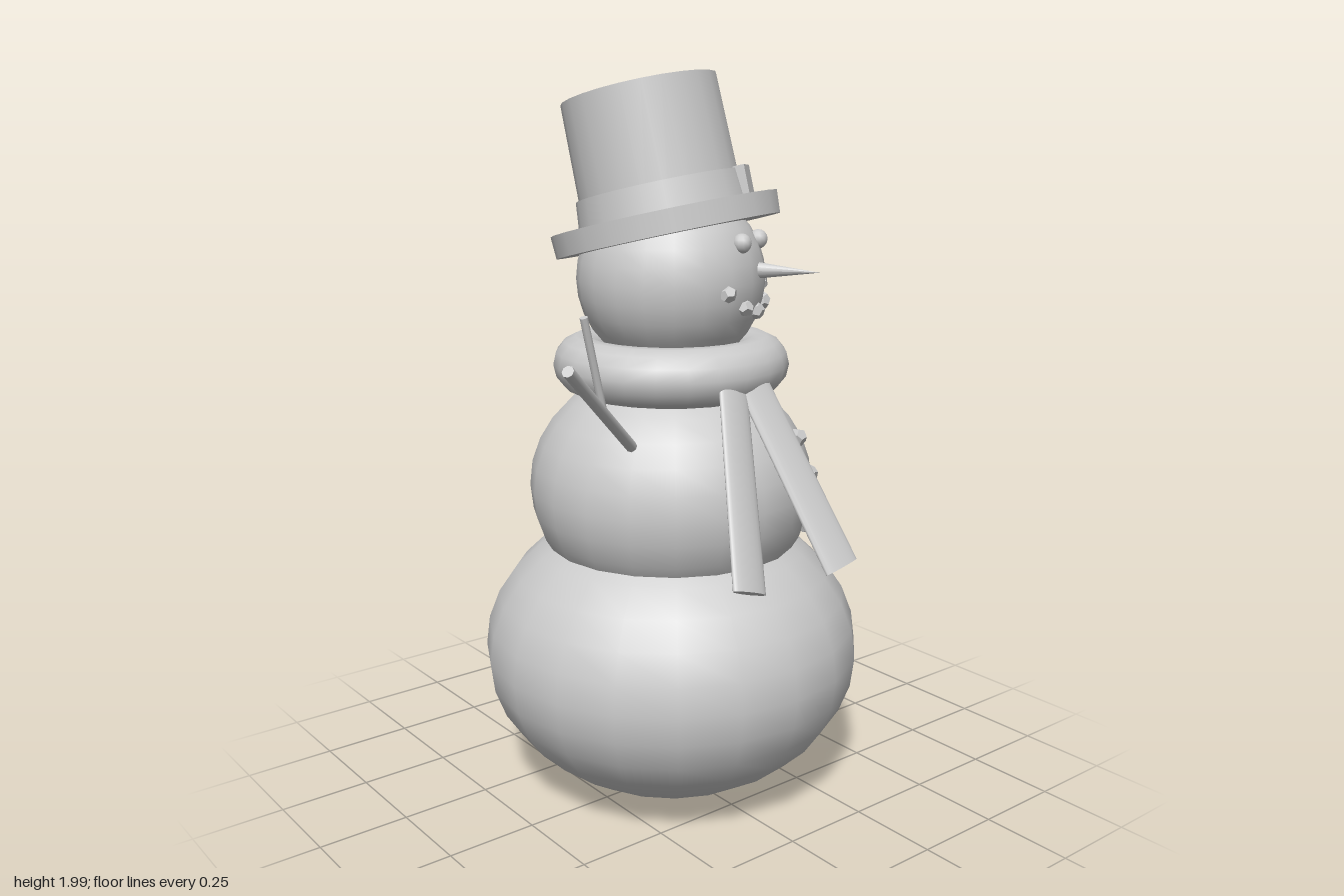
import * as THREE from 'three';

const material = new THREE.MeshStandardMaterial({ color: 0xcccccc });
const coalMaterial = new THREE.MeshStandardMaterial({ color: 0xcccccc, flatShading: true });
const AXIS = -0.01; // x and z of the snowman's vertical axis
const FACING = 0.55; // the face is turned towards the model's left

function add(parent, name, geometry, position = [0, 0, 0], mat = material) {
  const mesh = new THREE.Mesh(geometry, mat);
  mesh.name = name;
  mesh.position.set(...position);
  parent.add(mesh);
  return mesh;
}

// Squashed ball of snow
function ball(parent, name, y, radius, halfHeight) {
  const mesh = add(parent, name, new THREE.SphereGeometry(radius, 20, 16), [AXIS, y, AXIS]);
  mesh.scale.y = halfHeight / radius;
}

// Round stick between two points
function stick(parent, name, from, to, radius) {
  const a = new THREE.Vector3(...from), b = new THREE.Vector3(...to);
  const dir = b.clone().sub(a);
  const mesh = add(parent, name, new THREE.CylinderGeometry(radius, radius, dir.length(), 8));
  mesh.position.copy(a).add(b).multiplyScalar(0.5);
  mesh.quaternion.setFromUnitVectors(new THREE.Vector3(0, 1, 0), dir.normalize());
}

// Point at a given heading and distance from the vertical axis
const around = (angle, distance, y) =>
  [AXIS + Math.sin(angle) * distance, y, AXIS + Math.cos(angle) * distance];

// Irregular lump of coal
function coal(parent, name, angle, distance, y, radius, spin) {
  const mesh = add(parent, name, new THREE.DodecahedronGeometry(radius, 0), around(angle, distance, y), coalMaterial);
  mesh.rotation.set(spin, angle + spin * 0.7, spin * 1.3);
  mesh.scale.set(1, 0.88, 0.95);
}

// Flat hanging end of the scarf, oval in section
function scarfTail(parent, name, top, bottom) {
  const a = new THREE.Vector3(...top), b = new THREE.Vector3(...bottom);
  const up = a.clone().sub(b);
  const geometry = new THREE.CylinderGeometry(0.05, 0.055, up.length(), 20);
  geometry.scale(1, 1, 0.26);
  const mesh = add(parent, name, geometry);
  mesh.position.copy(a).add(b).multiplyScalar(0.5);
  up.normalize();
  const side = new THREE.Vector3().crossVectors(up, new THREE.Vector3(0, 0, 1)).normalize();
  const out = new THREE.Vector3().crossVectors(side, up);
  mesh.quaternion.setFromRotationMatrix(new THREE.Matrix4().makeBasis(side, up, out));
}

function makeHat() {
  const hat = new THREE.Group();
  hat.name = 'topHat';
  hat.position.set(-0.012, 1.6, -0.028);
  hat.rotation.set(-0.23, 0.44, 0, 'YXZ');
  add(hat, 'hatBrim', new THREE.CylinderGeometry(0.309, 0.306, 0.06, 24));
  add(hat, 'hatCrown', new THREE.CylinderGeometry(0.21, 0.218, 0.35, 24), [0, 0.185, 0]);
  add(hat, 'hatBand', new THREE.CylinderGeometry(0.224, 0.232, 0.08, 24), [0, 0.065, 0]);
  const turn = 0.26;
  const buckle = add(hat, 'hatBuckle', new THREE.BoxGeometry(0.085, 0.078, 0.03),
    [Math.sin(turn) * 0.228, 0.07, Math.cos(turn) * 0.228]);
  buckle.rotation.y = turn;
  return hat;
}

export function createModel() {
  const model = new THREE.Group();
  model.name = 'snowman';

  // Snow body
  ball(model, 'lowerBody', 0.42, 0.527, 0.412);
  ball(model, 'upperBody', 0.89, 0.392, 0.34);
  ball(model, 'head', 1.46, 0.255, 0.25);

  // Scarf
  const ring = new THREE.TorusGeometry(0.243, 0.078, 14, 24);
  ring.rotateX(Math.PI / 2);
  add(model, 'scarfRing', ring, [AXIS, 1.232, AXIS]);
  scarfTail(model, 'scarfTailRight', [-0.04, 1.205, 0.285], [-0.185, 0.755, 0.522]);
  scarfTail(model, 'scarfTailLeft', [0.03, 1.205, 0.285], [0.13, 0.755, 0.522]);

  // Eyes and nose
  for (const s of [-1, 1]) {
    add(model, s > 0 ? 'leftEye' : 'rightEye', new THREE.SphereGeometry(0.026, 12, 8),
      around(FACING + s * 0.315, 0.232, 1.565));
  }
  const cone = new THREE.ConeGeometry(0.026, 0.2, 12);
  cone.rotateX(Math.PI / 2);
  const nose = add(model, 'nose', cone, around(FACING, 0.31, 1.49));
  nose.rotation.y = FACING;

  // Mouth: five coals along a smile
  [-0.6, -0.32, 0, 0.32, 0.6].forEach((offset, i) => {
    const y = 1.383 + 0.165 * offset * offset;
    coal(model, 'mouthCoal' + (i + 1), FACING + offset, Math.sqrt(0.0635 - (1.46 - y) ** 2), y, 0.025, 0.4 + i);
  });

  // Coat buttons
  [[0.352, 1.04], [0.385, 0.94], [0.381, 0.8]].forEach(([distance, y], i) => {
    coal(model, 'button' + (i + 1), 0.65, distance, y, 0.028, 0.9 + i * 1.4);
  });

  // Stick arms, each with one twig
  stick(model, 'leftArm', [0.25, 1.025, -0.165], [0.593, 1.193, -0.408], 0.014);
  stick(model, 'leftTwig', [0.49, 1.143, -0.335], [0.587, 1.115, -0.41], 0.007);
  stick(model, 'rightArm', [-0.24, 1.035, 0.15], [-0.593, 1.327, 0.36], 0.015);
  stick(model, 'rightTwig', [-0.43, 1.195, 0.264], [-0.5, 1.432, 0.29], 0.01);

  model.add(makeHat());
  return model;
}
